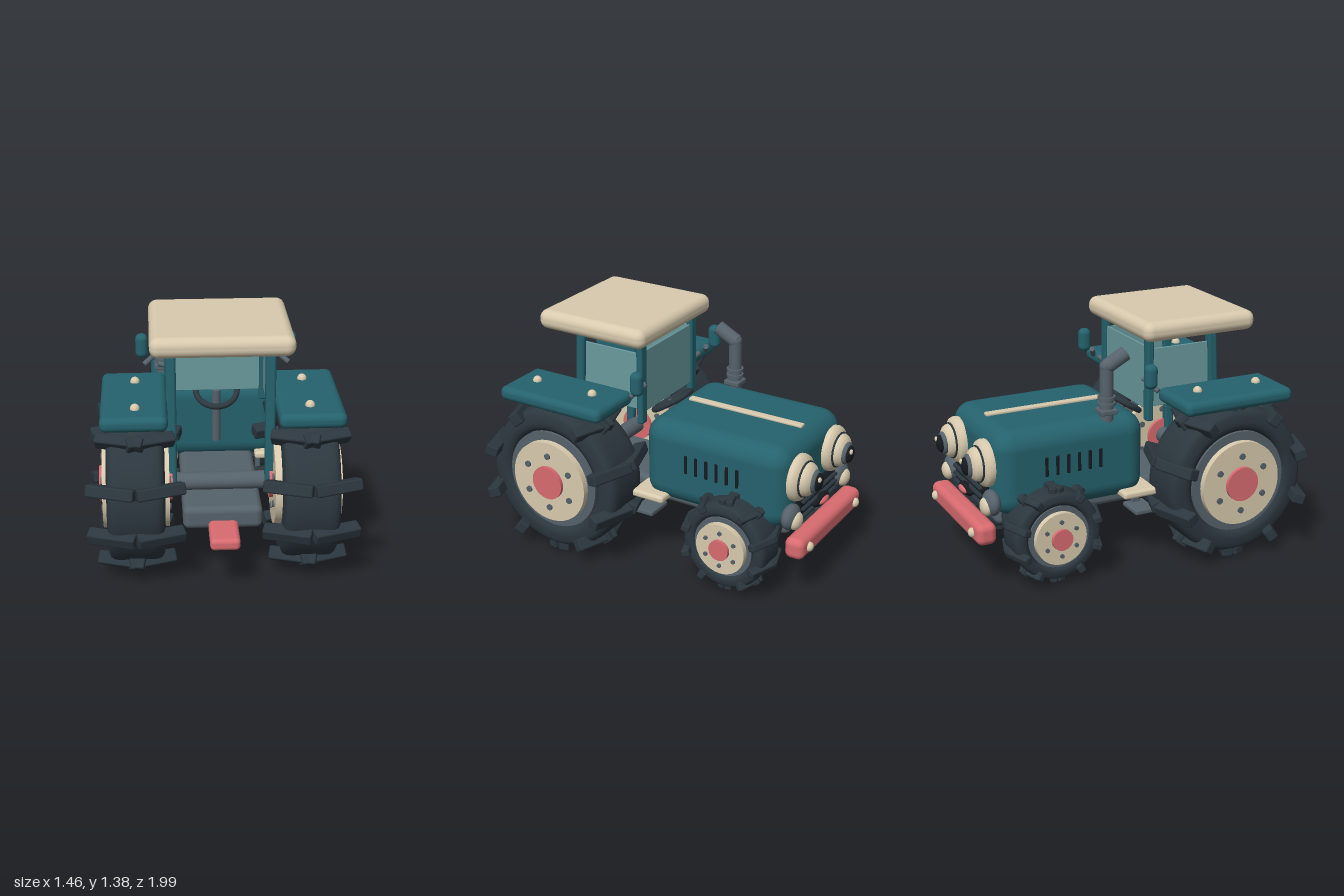
import * as THREE from 'three';
import { RoundedBoxGeometry } from 'three/addons/geometries/RoundedBoxGeometry.js';

const mat = (name, color, extra = {}) => new THREE.MeshStandardMaterial({ name, color, ...extra });

export function createModel() {
  const teal = mat('teal paint', 0x25626d);
  const cream = mat('cream', 0xd8caae);
  const red = mat('coral red', 0xd86b70);
  const rubber = mat('rubber', 0x2c373f);
  const grey = mat('steel grey', 0x56626b);
  const glass = mat('glass', 0x6a9a9e, { side: THREE.DoubleSide });
  const black = mat('black', 0x161b20);

  const model = new THREE.Group();
  model.name = 'tractor';

  const add = (name, geo, material, x = 0, y = 0, z = 0, parent = model) => {
    const m = new THREE.Mesh(geo, material);
    m.name = name;
    m.position.set(x, y, z);
    parent.add(m);
    return m;
  };
  // Rounded box, with a finer bevel on large radii only
  const box = (name, material, w, h, d, r, x, y, z, parent) =>
    add(name, new RoundedBoxGeometry(w, h, d, r > 0.015 ? 4 : 1, r), material, x, y, z, parent);
  const ball = (name, material, rx, ry, rz, x, y, z) => {
    const m = add(name, new THREE.SphereGeometry(1, 24, 16), material, x, y, z);
    m.scale.set(rx, ry, rz);
    return m;
  };
  // Cylinder between two points
  const rod = (name, material, a, b, r) => {
    const p = new THREE.Vector3(...a), q = new THREE.Vector3(...b);
    const m = add(name, new THREE.CylinderGeometry(r, r, p.distanceTo(q), 20), material);
    m.position.copy(p).add(q).multiplyScalar(0.5);
    m.quaternion.setFromUnitVectors(new THREE.Vector3(0, 1, 0), q.sub(p).normalize());
    return m;
  };
  // Disc whose axis runs along x
  const disc = (name, material, r, width, y, z, parent, sides) =>
    add(name, new THREE.CylinderGeometry(r, r, width, sides).rotateZ(Math.PI / 2), material, 0, y, z, parent);

  // Wheel: lathed tyre, rim, hub, bolts and two crossed rings of lugs
  const wheel = (name, o, side) => {
    const g = new THREE.Group();
    g.name = name;
    g.position.set(side * o.x, o.y, o.z);
    model.add(g);
    const { R, w, rim } = o, s = R - rim;
    const half = [[rim, 0.7], [rim + 0.03 * s, 0.86], [rim + 0.12 * s, 0.9], [rim + 0.2 * s, 0.98],
      [rim + 0.4 * s, 1], [rim + 0.72 * s, 0.97], [rim + 0.87 * s, 0.9], [rim + 0.97 * s, 0.76], [R, 0.5]];
    const pts = [...half.map(([r, k]) => [r, -k]), ...half.slice().reverse()]
      .map(([r, k]) => new THREE.Vector2(r, k * w / 2));
    add('tyre', new THREE.LatheGeometry(pts, 56).rotateZ(Math.PI / 2), rubber, 0, 0, 0, g);
    disc('rimRing', grey, rim, w * 0.92, 0, 0, g, 56);
    disc('wheelDisc', cream, o.disc, w + 0.05, 0, 0, g, 48);
    disc('hub', red, o.hub, w + 0.09, 0, 0, g, 36);
    for (let i = 0; i < 6; i++) {
      const a = i * Math.PI / 3;
      disc('wheelBolt', grey, o.bolt, w + 0.07, Math.cos(a) * o.boltRing, Math.sin(a) * o.boltRing, g, 12);
    }
    for (const t of [-0.32, 0.32]) {
      const ring = new THREE.Group();
      ring.name = 'lugRing';
      ring.rotation.y = t;
      g.add(ring);
      for (let i = 0; i < 10; i++) {
        const a = i * Math.PI / 5;
        const lug = box('lug', rubber, o.lugW, o.lugH, o.lugT, 0.01,
          0, -Math.cos(a) * o.lugR, Math.sin(a) * o.lugR, ring);
        lug.rotation.x = -a;
      }
    }
  };
  const rear = { x: 0.465, y: 0.47, z: 0.51, R: 0.43, w: 0.31, rim: 0.295, disc: 0.245, hub: 0.1,
    bolt: 0.018, boltRing: 0.162, lugW: 0.265, lugH: 0.075, lugT: 0.065, lugR: 0.432 };
  const front = { x: 0.4, y: 0.295, z: -0.55, R: 0.255, w: 0.21, rim: 0.178, disc: 0.15, hub: 0.06,
    bolt: 0.012, boltRing: 0.1, lugW: 0.17, lugH: 0.05, lugT: 0.042, lugR: 0.256 };

  // Body
  box('hood', teal, 0.74, 0.49, 0.9, 0.11, 0, 0.628, -0.395);
  box('hoodStrip', cream, 0.045, 0.02, 0.725, 0.008, 0, 0.878, -0.403);
  box('chassis', grey, 0.43, 0.13, 1.56, 0.035, 0, 0.36, -0.02);
  rod('rearAxle', grey, [-0.4, 0.47, 0.51], [0.4, 0.47, 0.51], 0.05);
  rod('frontAxle', grey, [-0.4, 0.295, -0.55], [0.4, 0.295, -0.55], 0.035);
  box('hitch', red, 0.16, 0.068, 0.24, 0.025, 0, 0.323, 0.872);
  box('bumper', red, 0.76, 0.125, 0.115, 0.04, 0, 0.325, -0.915);

  // Grille and mouth
  box('grille', black, 0.46, 0.15, 0.06, 0.025, 0, 0.485, -0.845);
  for (let i = 0; i < 3; i++) box('grilleBar', rubber, 0.42, 0.02, 0.03, 0.009, 0, 0.44 + i * 0.045, -0.88);
  ball('mouthBacking', black, 0.09, 0.035, 0.03, 0, 0.462, -0.89);
  ball('mouth', red, 0.06, 0.022, 0.025, 0, 0.462, -0.905);

  // Cab
  box('roof', cream, 0.76, 0.113, 0.705, 0.05, 0, 1.326, 0.393);
  box('windscreen', glass, 0.5, 0.37, 0.012, 0.004, 0, 1.035, 0.115);
  const wheelRing = add('steeringWheel', new THREE.TorusGeometry(0.118, 0.017, 12, 40), rubber, 0, 0.835, 0.08);
  wheelRing.rotation.x = -1.0;
  rod('steeringColumn', grey, [0, 0.52, 0.07], [0, 0.835, 0.08], 0.025);

  // Exhaust
  box('exhaustBase', grey, 0.1, 0.03, 0.1, 0.008, -0.3, 0.9, -0.165);
  rod('exhaustPipe', grey, [-0.3, 0.82, -0.165], [-0.3, 1.16, -0.165], 0.038);
  for (const y of [0.935, 0.97]) rod('exhaustCollar', grey, [-0.3, y, -0.165], [-0.3, y + 0.016, -0.165], 0.05);
  ball('exhaustElbow', grey, 0.039, 0.039, 0.039, -0.3, 1.155, -0.165);
  rod('exhaustTip', grey, [-0.3, 1.15, -0.172], [-0.3, 1.215, -0.05], 0.042);
  rod('exhaustOpening', black, [-0.3, 1.213, -0.054], [-0.3, 1.2165, -0.0475], 0.032);

  // Headlamp profile: stepped bowl, radius against depth
  const lampProfile = [[0.132, 0], [0.134, 0.02], [0.126, 0.04], [0.1, 0.052], [0.096, 0.056],
    [0.095, 0.07], [0.085, 0.088], [0.06, 0.104], [0.03, 0.112], [0.0001, 0.114]]
    .map(([r, h]) => new THREE.Vector2(r, h));
  const lampGeo = new THREE.LatheGeometry(lampProfile, 48).rotateX(-Math.PI / 2);

  for (const s of [-1, 1]) {
    const lr = s > 0 ? 'left' : 'right';
    wheel(lr + 'RearWheel', rear, s);
    wheel(lr + 'FrontWheel', front, s);

    // Fender with marker lamps
    box(lr + 'Fender', teal, 0.355, 0.083, 0.682, 0.036, s * 0.467, 0.947, 0.496);
    for (const z of [0.32, 0.7]) ball('fenderLamp', cream, 0.026, 0.028, 0.026, s * 0.46, 0.99, z);

    // Pillars and side window
    box('frontPillar', teal, 0.056, 0.48, 0.042, 0.012, s * 0.268, 1.03, 0.115);
    const pillar = box('rearPillar', teal, 0.056, 0.84, 0.056, 0.014, s * 0.268, 0.86, 0.53);
    pillar.rotation.x = -0.045;
    box('sideWindow', glass, 0.012, 0.34, 0.38, 0.004, s * 0.268, 1.04, 0.32);

    // Mirror
    box('mirror', teal, 0.07, 0.14, 0.072, 0.032, s * 0.421, 1.1, 0.046);
    rod('mirrorStay', grey, [s * 0.28, 1.0, 0.11], [s * 0.33, 1.01, 0.1], 0.015);
    rod('mirrorArm', grey, [s * 0.41, 1.005, 0.1], [s * 0.325, 1.065, 0.05], 0.015);

    // Steps
    box('footboard', cream, 0.2, 0.045, 0.21, 0.018, s * 0.325, 0.418, -0.008);
    box('lowerStep', grey, 0.17, 0.03, 0.13, 0.01, s * 0.3, 0.285, 0.045);
    box('stepBracket', grey, 0.03, 0.13, 0.05, 0.008, s * 0.245, 0.345, 0.045);

    // Side vents
    for (let i = 0; i < 6; i++)
      box('hoodVent', black, 0.012, 0.112, 0.02, 0.005, s * 0.369, 0.658, -0.235 - i * 0.065);

    // Headlamp eye
    add(lr + 'Headlamp', lampGeo, cream, s * 0.208, 0.68, -0.842);
    add('headlampGroove', new THREE.TorusGeometry(0.098, 0.006, 8, 48), rubber, s * 0.208, 0.68, -0.898);
    ball('iris', grey, 0.062, 0.066, 0.03, s * 0.2, 0.675, -0.945);
    ball('pupil', black, 0.05, 0.054, 0.032, s * 0.198, 0.674, -0.955);
    ball('eyeGlint', cream, 0.014, 0.016, 0.01, s * 0.198 + 0.018, 0.698, -0.981);

    // Cheek lamp and bumper stud
    ball('cheekHousing', grey, 0.082, 0.072, 0.045, s * 0.302, 0.482, -0.86);
    ball('cheekLamp', cream, 0.055, 0.052, 0.035, s * 0.3, 0.465, -0.89);
    ball('bumperStud', cream, 0.028, 0.028, 0.022, s * 0.292, 0.325, -0.975);
  }
  return model;
}
